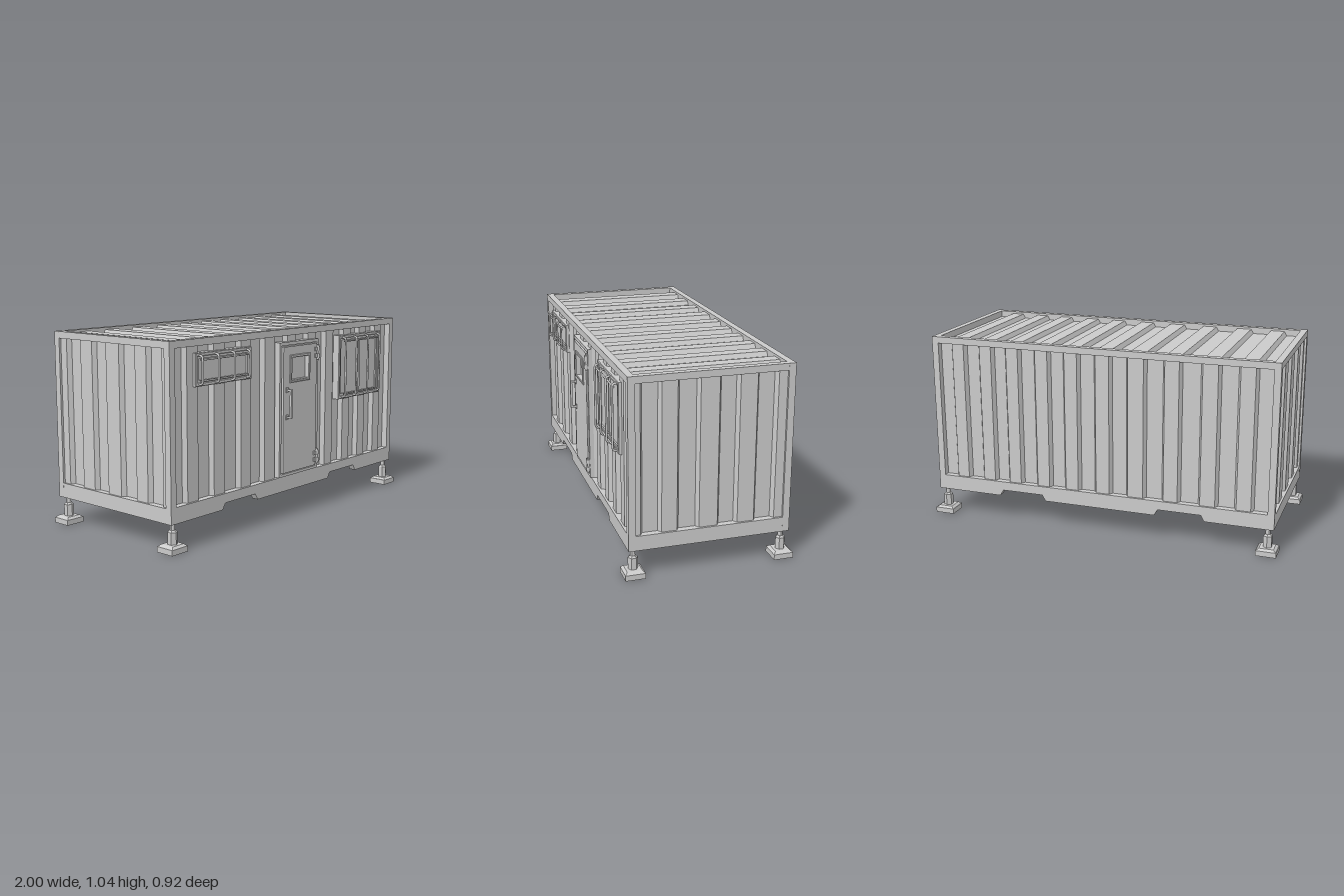
import * as THREE from 'three';

const mat = new THREE.MeshStandardMaterial({ color: 0xcccccc, flatShading: true });
const smooth = new THREE.MeshStandardMaterial({ color: 0xcccccc });
const sheet = new THREE.MeshStandardMaterial({ color: 0xcccccc, flatShading: true, side: THREE.DoubleSide });

// Outer limits of the cabin body
const X0 = -0.98, X1 = 0.976, Y0 = 0.146, Y1 = 1.045, Z0 = -0.44, Z1 = 0.416, RAIL = 0.037;

function add(parent, name, geo, x = 0, y = 0, z = 0, m = mat) {
  const mesh = new THREE.Mesh(geo, m);
  mesh.name = name;
  mesh.position.set(x, y, z);
  parent.add(mesh);
  return mesh;
}

// Box given by its limits
function box(parent, name, x0, x1, y0, y1, z0, z1) {
  return add(parent, name, new THREE.BoxGeometry(x1 - x0, y1 - y0, z1 - z0),
    (x0 + x1) / 2, (y0 + y1) / 2, (z0 + z1) / 2);
}

function polygon(points, Type = THREE.Shape) {
  return new Type(points.map(p => new THREE.Vector2(...p)));
}
const rect = (x0, x1, y0, y1) => [[x0, y0], [x1, y0], [x1, y1], [x0, y1]];

// Flat frame: an outline with one opening, extruded towards +z
function frameGeo(outline, opening, depth, bevel = 0) {
  const shape = polygon(outline);
  shape.holes.push(polygon([...opening].reverse(), THREE.Path));
  return new THREE.ExtrudeGeometry(shape, {
    depth: depth - bevel, bevelEnabled: bevel > 0, bevelSize: bevel, bevelOffset: -bevel,
    bevelThickness: bevel, bevelSegments: 1
  });
}

// Folded sheet in local xy facing +z; it steps in or out at every position in steps
function corrugated(u0, u1, v0, v1, steps, startsOut) {
  const out = -0.012, deep = -0.036, s = 0.007;
  let isOut = startsOut;
  const profile = [[u0, isOut ? out : deep]];
  for (const u of steps) {
    profile.push([u - s, isOut ? out : deep]);
    isOut = !isOut;
    profile.push([u + s, isOut ? out : deep]);
  }
  profile.push([u1, isOut ? out : deep]);
  const pos = [], idx = [];
  profile.forEach(([u, d], i) => {
    pos.push(u, v0, d, u, v1, d);
    if (i) idx.push(2 * i - 2, 2 * i, 2 * i + 1, 2 * i - 2, 2 * i + 1, 2 * i - 1);
  });
  const g = new THREE.BufferGeometry();
  g.setAttribute('position', new THREE.Float32BufferAttribute(pos, 3));
  g.setIndex(idx);
  const flat = g.toNonIndexed();
  flat.computeVertexNormals();
  return flat;
}
const mirrored = list => list.map(v => -v).reverse();

function tube(parent, name, points, r) {
  const path = new THREE.CurvePath();
  const v = points.map(p => new THREE.Vector3(...p));
  const c = 0.02;
  // Straight runs joined by rounded bends
  let from = v[0];
  for (let i = 1; i < v.length; i++) {
    if (i === v.length - 1) { path.add(new THREE.LineCurve3(from, v[i])); break; }
    const a = v[i].clone().add(v[i - 1].clone().sub(v[i]).setLength(c));
    const b = v[i].clone().add(v[i + 1].clone().sub(v[i]).setLength(c));
    path.add(new THREE.LineCurve3(from, a));
    path.add(new THREE.QuadraticBezierCurve3(a, v[i], b));
    from = b;
  }
  return add(parent, name, new THREE.TubeGeometry(path, 48, r, 8, false), 0, 0, 0, smooth);
}

function addFrame(group) {
  // Long sides, with two lifting notches in the lower rail
  const outline = [[X0, Y0], [-0.605, Y0], [-0.585, 0.18], [-0.345, 0.18], [-0.325, Y0],
    [0.312, Y0], [0.332, 0.18], [0.572, 0.18], [0.592, Y0], [X1, Y0], [X1, Y1], [X0, Y1]];
  const long = frameGeo(outline, rect(X0 + RAIL, X1 - RAIL, 0.23, 1.009), RAIL);
  add(group, 'frontFrame', long, 0, 0, Z1 - RAIL);
  add(group, 'backFrame', long, 0, 0, Z0);

  // Short ends between the long sides
  const end = frameGeo(rect(-Z1 + 0.001, -Z0 - 0.001, Y0, Y1),
    rect(-Z1 + RAIL, -Z0 - RAIL, 0.225, 1.009), RAIL - 0.0005);
  for (const [name, x] of [['leftEndFrame', X1 - RAIL], ['rightEndFrame', X0 + 0.0005]])
    add(group, name, end, x, 0, 0).rotation.y = Math.PI / 2;
}

function addPanels(group) {
  const xs = [-0.858, -0.766, -0.664, -0.568, -0.457, -0.365, -0.263, -0.163, -0.07, 0.02,
    0.112, 0.198, 0.283, 0.368, 0.457, 0.54, 0.618, 0.7, 0.784, 0.866];
  const zs = [-0.35, -0.253, -0.15, -0.057, 0.054, 0.156, 0.25, 0.344];
  const x0 = X0 + 0.034, x1 = X1 - 0.034, z0 = Z0 + 0.034, z1 = Z1 - 0.034, y0 = 0.19, y1 = 1.03;
  const H = Math.PI / 2;
  const panel = (name, geo, x, y, z, rx, ry) =>
    add(group, name, geo, x, y, z, sheet).rotation.set(rx, ry, 0);
  panel('frontWall', corrugated(x0, x1, y0, y1 - 0.015, xs, false), 0, 0, Z1, 0, 0);
  panel('backWall', corrugated(-x1, -x0, y0, y1 - 0.015, mirrored(xs), false), 0, 0, Z0, 0, Math.PI);
  panel('leftEndWall', corrugated(-z1, -z0, y0, y1 - 0.015, mirrored(zs), true), X1, 0, 0, 0, H);
  panel('rightEndWall', corrugated(z0, z1, y0, y1 - 0.015, zs, true), X0, 0, 0, 0, -H);
  panel('roof', corrugated(x0, x1, -z1, -z0, xs, false), 0, Y1, 0, -H, 0);
  panel('floor', corrugated(x0, x1, z0, z1, xs, false), 0, 0.172, 0, H, 0);
}

function addFoot(group, name, x, z) {
  const foot = new THREE.Group();
  foot.name = name;
  foot.position.set(x, 0, z);
  group.add(foot);
  box(foot, 'footPlate', -0.0555, 0.0555, 0, 0.029, -0.0525, 0.0525);
  const taper = new THREE.CylinderGeometry(0.039 * Math.SQRT2, 0.0525 * Math.SQRT2, 0.011, 4);
  taper.rotateY(Math.PI / 4);
  add(foot, 'footTaper', taper, 0, 0.0345, 0);
  add(foot, 'jackNut', new THREE.CylinderGeometry(0.026, 0.026, 0.062, 6), 0, 0.071, 0);
  add(foot, 'jackCollar', new THREE.CylinderGeometry(0.016, 0.025, 0.01, 6), 0, 0.107, 0);
  add(foot, 'jackRod', new THREE.CylinderGeometry(0.013, 0.013, 0.09, 12), 0, 0.14, 0);
}

function addDoor(group) {
  const door = new THREE.Group();
  door.name = 'door';
  group.add(door);
  add(door, 'doorFrame', frameGeo(rect(-0.152, 0.194, 0.232, 0.975),
    rect(-0.135, 0.178, 0.247, 0.957), 0.045), 0, 0, 0.378);
  // Leaf with a window opening
  add(door, 'doorLeaf', frameGeo(rect(-0.127, 0.17, 0.253, 0.95),
    rect(-0.057, 0.092, 0.766, 0.888), 0.04), 0, 0, 0.389);
  box(door, 'doorBacking', -0.14, 0.185, 0.24, 0.965, 0.38, 0.408);
  add(door, 'doorWindowTrim', frameGeo(rect(-0.073, 0.106, 0.752, 0.904),
    rect(-0.057, 0.092, 0.766, 0.888), 0.018, 0.003), 0, 0, 0.418);
  // Pull handle on two brackets
  box(door, 'handleGrip', -0.102, -0.09, 0.56, 0.72, 0.453, 0.464);
  for (const y of [0.565, 0.715]) {
    box(door, 'handleArm', -0.102, -0.09, y - 0.005, y + 0.005, 0.425, 0.46);
    box(door, 'handlePlate', -0.105, -0.087, y - 0.014, y + 0.014, 0.425, 0.434);
  }
  // Two hinges with stacked knuckles
  for (const y of [0.305, 0.9]) {
    box(door, 'hingeLeaf', 0.15, 0.186, y - 0.03, y - 0.008, 0.42, 0.435);
    box(door, 'hingeLeaf', 0.15, 0.186, y + 0.008, y + 0.03, 0.42, 0.435);
    add(door, 'hingePin', new THREE.CylinderGeometry(0.007, 0.007, 0.084, 10), 0.18, y, 0.43, smooth);
    for (const dy of [-0.022, 0.022])
      add(door, 'hingeKnuckle', new THREE.CylinderGeometry(0.012, 0.012, 0.024, 10), 0.18, y + dy, 0.43, smooth);
  }
}

function addWindow(group, name, x0, x1, y0, y1, bars, mullion) {
  const win = new THREE.Group();
  win.name = name;
  group.add(win);
  add(win, 'windowFrame', frameGeo(rect(x0, x1, y0, y1),
    rect(x0 + 0.018, x1 - 0.018, y0 + 0.018, y1 - 0.018), 0.044, 0.003), 0, 0, 0.378);
  add(win, 'sash', frameGeo(rect(x0 + 0.018, x1 - 0.018, y0 + 0.018, y1 - 0.018),
    rect(x0 + 0.03, x1 - 0.03, y0 + 0.03, y1 - 0.03), 0.03), 0, 0, 0.385);
  box(win, 'glass', x0 + 0.01, x1 - 0.01, y0 + 0.01, y1 - 0.01, 0.385, 0.407);
  if (mullion) box(win, 'mullion', mullion - 0.009, mullion + 0.009, y0 + 0.02, y1 - 0.02, 0.4, 0.416);
  // Security grille: bent uprights with two cross bars
  for (const x of bars)
    tube(win, 'grilleUpright', [[x, y0 + 0.011, 0.41], [x, y0 + 0.011, 0.443],
      [x, y1 - 0.013, 0.443], [x, y1 - 0.013, 0.41]], 0.006);
  for (const y of [y0 + 0.028, y1 - 0.034])
    tube(win, 'grilleCrossBar', [[bars[0] - 0.012, y, 0.434], [bars[3] + 0.012, y, 0.434]], 0.005);
}

export function createModel() {
  const group = new THREE.Group();
  group.name = 'siteCabin';
  addFrame(group);
  addPanels(group);
  for (const [side, x] of [['left', 0.9445], ['right', -0.9445]]) {
    addFoot(group, side + 'FrontFoot', x, 0.387);
    addFoot(group, side + 'BackFoot', x, -0.4075);
  }
  addDoor(group);
  addWindow(group, 'wideWindow', -0.807, -0.382, 0.808, 0.975, [-0.778, -0.66, -0.54, -0.422]);
  addWindow(group, 'tallWindow', 0.398, 0.824, 0.602, 0.975, [0.435, 0.546, 0.665, 0.79], 0.612);
  return group;
}
